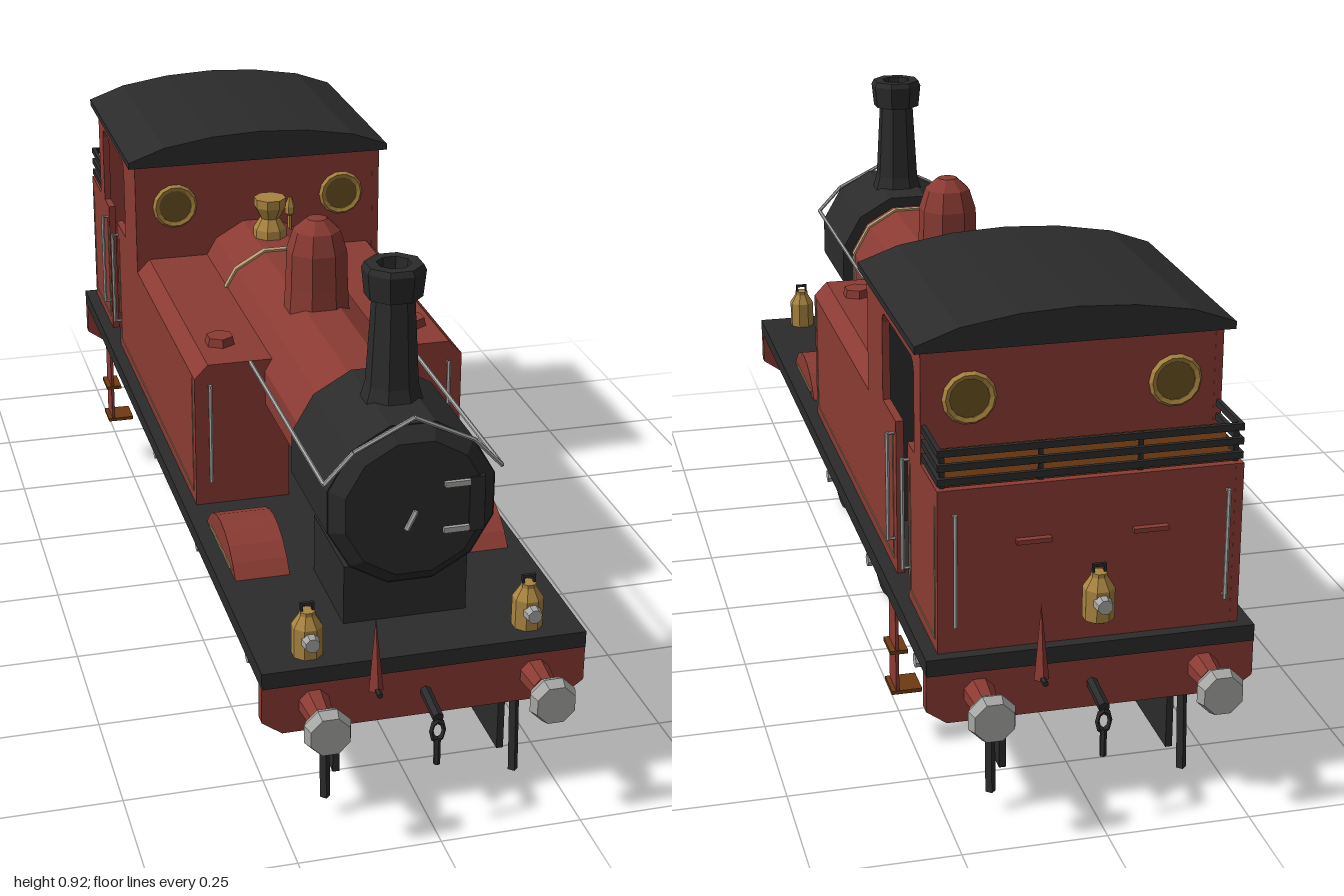
import * as THREE from 'three';

const mat = (name, color) => Object.assign(new THREE.MeshStandardMaterial({ color }), { name });

export function createModel() {
  const red = mat('red paint', 0x8a3b33), black = mat('black iron', 0x2b2b2b);
  const steel = mat('steel', 0xa6a6a4), brass = mat('brass', 0xa98440);
  const brown = mat('brown', 0x6e3a12), cream = mat('cream lining', 0xb59a70), glass = mat('dim glass', 0x66501f);
  const root = new THREE.Group();
  root.name = 'tankEngine';

  // ---- helpers ----
  const add = (name, geo, m, x = 0, y = 0, z = 0, parent = root) => {
    const g = geo.index ? geo.toNonIndexed() : geo;
    g.computeVertexNormals(); // faceted look
    const mesh = new THREE.Mesh(g, m);
    mesh.name = name;
    mesh.position.set(x, y, z);
    parent.add(mesh);
    return mesh;
  };
  // box given by its limits
  const box = (name, m, x0, x1, y0, y1, z0, z1, parent) =>
    add(name, new THREE.BoxGeometry(Math.abs(x1 - x0), y1 - y0, Math.abs(z1 - z0)), m, (x0 + x1) / 2, (y0 + y1) / 2, (z0 + z1) / 2, parent);
  // round bar between two points
  const bar = (name, m, a, b, r = 0.004, n = 6) => {
    const p = new THREE.Vector3(...a), d = new THREE.Vector3(...b).sub(p);
    const mesh = add(name, new THREE.CylinderGeometry(r, r, d.length(), n), m);
    mesh.position.copy(p).addScaledVector(d, 0.5);
    mesh.quaternion.setFromUnitVectors(new THREE.Vector3(0, 1, 0), d.normalize());
  };
  // cylinder along z, front radius first, flat edge on top
  const drum = (rf, rb, z0, z1, n) =>
    new THREE.CylinderGeometry(rf, rb, z1 - z0, n).rotateY(Math.PI / n).rotateX(Math.PI / 2).translate(0, 0, (z0 + z1) / 2);
  const lathe = (pts, n) => new THREE.LatheGeometry(pts.map(p => new THREE.Vector2(...p)), n, Math.PI / n);
  const shape = pts => new THREE.Shape(pts.map(p => new THREE.Vector2(...p)));
  const extrude = (s, depth) => new THREE.ExtrudeGeometry(s, { depth, bevelEnabled: false });
  const alongZ = (pts, z0, z1) => extrude(shape(pts), z1 - z0).translate(0, 0, z0);
  // (z, y) outline extruded across x
  const acrossX = (s, x0, x1) => extrude(s, x1 - x0).rotateY(-Math.PI / 2).translate(x1, 0, 0);

  // ---- footplate, frames and end beams ----
  box('footplate', black, -0.285, 0.285, 0.28, 0.31, -0.895, 0.895);
  const beam = [[-0.25, 0.19], [0.25, 0.19], [0.285, 0.215], [0.285, 0.28], [-0.285, 0.28], [-0.285, 0.215]];
  add('frontBeam', alongZ(beam, 0.87, 0.893), red);
  add('rearBeam', alongZ(beam, -0.893, -0.87), red);
  const frame = shape([[-0.87, 0.08], [0.865, 0.08], [0.865, 0.28], [-0.87, 0.28]]);
  for (const s of [-1, 1]) add('sideFrame', acrossX(frame, s * 0.148 - 0.006, s * 0.148 + 0.006), black);

  for (const e of [1, -1]) { // the same fittings at both ends
    const end = e > 0 ? 'front' : 'rear';
    for (const s of [-1, 1]) {
      const bumper = new THREE.Group();
      bumper.name = end + 'Bumper';
      bumper.position.set(s * 0.195, 0.24, 0);
      bumper.rotation.y = e > 0 ? 0 : Math.PI;
      root.add(bumper);
      add('bumperHousing', drum(0.022, 0.028, 0.89, 0.945, 8), red, 0, 0, 0, bumper);
      add('bumperStem', drum(0.014, 0.014, 0.94, 0.97, 8), steel, 0, 0, 0, bumper);
      add('bumperHead', drum(0.043, 0.036, 0.965, 0.98, 8), steel, 0, 0, 0, bumper);
      add('bumperFace', drum(0.036, 0.043, 0.98, 1.0, 8), steel, 0, 0, 0, bumper);
      bar(end + 'GuardIron', black, [s * 0.17, 0.2, e * 0.865], [s * 0.17, 0.04, e * 0.875], 0.009, 4);
    }
    bar('couplingHook', black, [0, 0.235, e * 0.89], [0, 0.225, e * 0.965], 0.01);
    add('couplingLink', new THREE.TorusGeometry(0.011, 0.004, 4, 8).scale(1, 1.7, 1), black, 0, 0.2, e * 0.963);
    bar('couplingScrew', black, [0, 0.185, e * 0.963], [0, 0.135, e * 0.963], 0.006);
    // tapering lamp iron
    const iron = add('lampIron', new THREE.ConeGeometry(0.013, 0.135, 4), red, -e * 0.095, 0.333, e * 0.915);
    iron.rotation.x = -e * 0.06;
    bar('brakePipe', black, [-e * 0.095, 0.27, e * 0.89], [-e * 0.095, 0.27, e * 0.945], 0.005);
  }

  // ---- wheels, axles and rods ----
  for (const z of [0.455, 0, -0.455]) {
    bar('axle', black, [-0.16, 0.135, z], [0.16, 0.135, z], 0.01, 8);
    for (const s of [-1, 1]) {
      const wheel = new THREE.Group();
      wheel.name = 'wheel';
      wheel.position.set(s * 0.167, 0.132, z);
      wheel.rotation.y = s > 0 ? 0 : Math.PI;
      root.add(wheel);
      const tyre = [[0.13, -0.014], [0.123, 0.013], [0.108, 0.013], [0.108, -0.014], [0.13, -0.014]];
      add('tyre', lathe(tyre, 24).rotateZ(-Math.PI / 2), black, 0, 0, 0, wheel);
      for (let i = 0; i < 10; i++) {
        const a = i * Math.PI / 5;
        add('spoke', new THREE.BoxGeometry(0.01, 0.1, 0.011).translate(0, 0.062, 0).rotateX(a), red, 0, 0, 0, wheel);
      }
      add('hub', new THREE.CylinderGeometry(0.024, 0.024, 0.034, 10).rotateZ(Math.PI / 2), red, 0.004, 0, 0, wheel);
      box('crank', red, 0, 0.019, -0.07, 0, -0.015, 0.015, wheel);
      // balance weight at the rim
      const w = shape([[-0.05, 0.095], [-0.04, 0.078], [0.04, 0.078], [0.05, 0.095], [0, 0.109]]);
      add('balanceWeight', acrossX(w, -0.008, 0.01), red, 0, 0, 0, wheel);
      bar('crankPin', steel, [s * 0.18, 0.08, z], [s * 0.21, 0.08, z], 0.014, 8);
    }
  }
  for (const s of [-1, 1]) box('couplingRod', steel, s * 0.188, s * 0.2, 0.07, 0.091, -0.465, 0.465);

  // ---- boiler, smokebox and mountings ----
  const by = 0.54;
  add('boiler', drum(0.13, 0.13, -0.31, 0.56, 12), red, 0, by);
  for (const z of [0.525, -0.12]) add('boilerBand', drum(0.134, 0.134, z - 0.007, z + 0.007, 12), cream, 0, by);
  add('smokebox', drum(0.152, 0.152, 0.55, 0.79, 12), black, 0, by);
  add('smokeboxDoor', drum(0.125, 0.15, 0.79, 0.812, 12), black, 0, by);
  box('smokeboxSaddle', black, -0.11, 0.11, 0.31, 0.42, 0.567, 0.767);
  box('doorHinge', black, 0.095, 0.122, 0.487, 0.588, 0.79, 0.815);
  for (const y of [0.495, 0.58]) box('hingeStrap', steel, 0.05, 0.095, y - 0.005, y + 0.005, 0.81, 0.819);
  bar('doorHandle', steel, [-0.016, 0.505, 0.818], [0, 0.538, 0.818], 0.005);
  add('chimney', lathe([[0.06, 0.66], [0.046, 0.71], [0.037, 0.866], [0.05, 0.868], [0.055, 0.915], [0.05, 0.925], [0.03, 0.925], [0.028, 0.87], [0, 0.87]], 8), black, 0, 0, 0.665);
  add('dome', lathe([[0.064, 0.64], [0.06, 0.70], [0.058, 0.77], [0.045, 0.81], [0.02, 0.832], [0, 0.834]], 8), red, 0, 0, 0.165);
  add('safetyValve', lathe([[0.036, 0.65], [0.034, 0.683], [0.02, 0.705], [0.033, 0.73], [0.033, 0.748], [0, 0.748]], 8), brass, 0, 0, -0.21);
  add('whistle', lathe([[0.005, 0.63], [0.005, 0.68], [0.011, 0.685], [0.011, 0.7], [0.004, 0.72], [0, 0.72]], 6), brass, 0.06, 0, -0.28);

  // handrail round the smokebox and back along the boiler
  const rail = [[-0.155, 0.597, 0.27], [-0.155, 0.597, 0.8], [-0.105, 0.65, 0.8], [0, 0.702, 0.8], [0.105, 0.65, 0.8], [0.155, 0.597, 0.8], [0.155, 0.597, 0.27]];
  for (let i = 1; i < rail.length; i++) bar('boilerHandrail', steel, rail[i - 1], rail[i]);

  // ---- cab and bunker ----
  const side = shape([[-0.31, 0.31], [-0.31, 0.8], [-0.755, 0.8], [-0.755, 0.6], [-0.875, 0.6], [-0.875, 0.31], [-0.652, 0.31],
    [-0.652, 0.6], [-0.705, 0.6], [-0.705, 0.745], [-0.698, 0.76], [-0.685, 0.767], [-0.465, 0.767], [-0.451, 0.76], [-0.445, 0.745], [-0.445, 0.6], [-0.555, 0.6], [-0.555, 0.31]]);
  for (const s of [-1, 1]) add('cabSide', acrossX(side, s * 0.254 - 0.007, s * 0.254 + 0.007), red);
  box('cabFront', red, -0.25, 0.25, 0.31, 0.8, -0.325, -0.3105);
  box('cabFrontLining', black, -0.247, 0.247, 0.31, 0.8, -0.332, -0.326);
  box('cabRear', red, -0.25, 0.25, 0.31, 0.8, -0.7545, -0.74);
  box('bunkerRear', red, -0.25, 0.25, 0.31, 0.6, -0.8745, -0.86);
  add('roof', alongZ([[-0.275, 0.8], [0.275, 0.8], [0.275, 0.813], [0.2, 0.84], [0.1, 0.856], [0, 0.861], [-0.1, 0.856], [-0.2, 0.84], [-0.275, 0.813]], -0.775, -0.3), black);
  for (const s of [-1, 1]) for (const z of [-0.3105, -0.7545]) {
    add('windowRing', new THREE.TorusGeometry(0.04, 0.007, 5, 14), brass, s * 0.178, 0.71, z);
    add('windowPane', drum(0.037, 0.037, -0.002, 0.002, 14), glass, s * 0.178, 0.71, z);
  }
  // coal heap and rails
  add('coalHeap', acrossX(shape([[-0.86, 0.57], [-0.755, 0.57], [-0.765, 0.6], [-0.815, 0.65], [-0.855, 0.6]]), -0.245, 0.245), brown);
  for (const y of [0.613, 0.638, 0.663]) {
    box('coalRailRear', black, -0.26, 0.26, y - 0.006, y + 0.006, -0.872, -0.864);
    for (const s of [-1, 1]) box('coalRailSide', black, s * 0.252, s * 0.26, y - 0.006, y + 0.006, -0.872, -0.755);
  }
  for (const x of [-0.25, -0.085, 0.085, 0.25]) box('coalRailPost', black, x - 0.004, x + 0.004, 0.6, 0.667, -0.864, -0.858);
  for (const s of [-1, 1]) box('bunkerStep', red, s * 0.07, s * 0.13, 0.497, 0.505, -0.886, -0.87);

  // ---- parts mirrored left and right ----
  for (const s of [-1, 1]) {
    const m = pts => s > 0 ? pts : pts.map(([x, y]) => [-x, y]).reverse();
    add('sideTank', alongZ(m([[0.08, 0.31], [0.261, 0.31], [0.261, 0.57], [0.235, 0.597], [0.08, 0.597]]), -0.31, 0.265), red);
    add('tankFiller', new THREE.CylinderGeometry(0.026, 0.03, 0.018, 6), red, s * 0.19, 0.604, 0.165);
    // wheel splasher
    const arc = [];
    for (let i = 0; i <= 8; i++) {
      const a = Math.PI * (0.2 + 0.6 * i / 8);
      arc.push([0.455 + 0.15 * Math.cos(a), 0.22 + 0.15 * Math.sin(a)]);
    }
    add('splasher', acrossX(shape(arc), s * 0.206 - 0.05, s * 0.206 + 0.05), red);
    box('splasherLining', cream, s * 0.255, s * 0.258, 0.315, 0.321, 0.365, 0.545);

    // lining frames on the tank and bunker sides
    for (const [za, zb] of [[0.243, -0.53], [-0.672, -0.858]]) {
      for (const z of [za, zb]) box('lining', cream, s * 0.261, s * 0.2625, 0.332, 0.568, z - 0.002, z + 0.002);
      box('lining', cream, s * 0.261, s * 0.2625, 0.33, 0.333, zb, za);
    }
    // upright handrails
    for (const z of [-0.54, -0.665]) {
      bar('cabHandrail', steel, [s * 0.274, 0.37, z], [s * 0.274, 0.575, z]);
      for (const y of [0.372, 0.573]) bar('handrailBracket', steel, [s * 0.255, y, z], [s * 0.274, y, z], 0.003);
    }
    for (const z of [0.275, -0.885]) {
      bar('endHandrail', steel, [s * 0.233, 0.36, z], [s * 0.233, 0.56, z]);
      for (const y of [0.365, 0.555]) bar('handrailBracket', steel, [s * 0.233, y, z], [s * 0.233, y, z > 0 ? 0.26 : -0.87], 0.003);
    }
    // cab steps
    box('stepPlate', red, s * 0.276, s * 0.282, 0.115, 0.282, -0.633, -0.578);
    box('lowerStep', brown, s * 0.235, s * 0.29, 0.112, 0.119, -0.635, -0.575);
    box('upperStep', brown, s * 0.26, s * 0.292, 0.191, 0.198, -0.635, -0.575);
  }

  // ---- lamps ----
  const lamp = (x, y, z, turn) => {
    const g = new THREE.Group();
    g.name = 'lamp';
    g.position.set(x, y, z);
    g.rotation.y = turn;
    root.add(g);
    add('lampBody', lathe([[0, 0], [0.027, 0], [0.027, 0.055], [0.014, 0.075], [0.014, 0.082], [0, 0.082]], 8), brass, 0, 0, 0, g);
    add('lampLens', drum(0.013, 0.016, 0.02, 0.04, 8), steel, 0, 0.035, 0, g);
    for (const s of [-1, 1]) box('lampHandle', black, s * 0.008, s * 0.012, 0.075, 0.095, -0.003, 0.003, g);
    box('lampHandle', black, -0.012, 0.012, 0.092, 0.097, -0.003, 0.003, g);
  };
  for (const s of [-1, 1]) lamp(s * 0.195, 0.31, 0.845, 0);
  lamp(0, 0.37, -0.92, Math.PI);
  box('rearLampBracket', black, -0.008, 0.008, 0.362, 0.37, -0.93, -0.87);

  return root;
}
